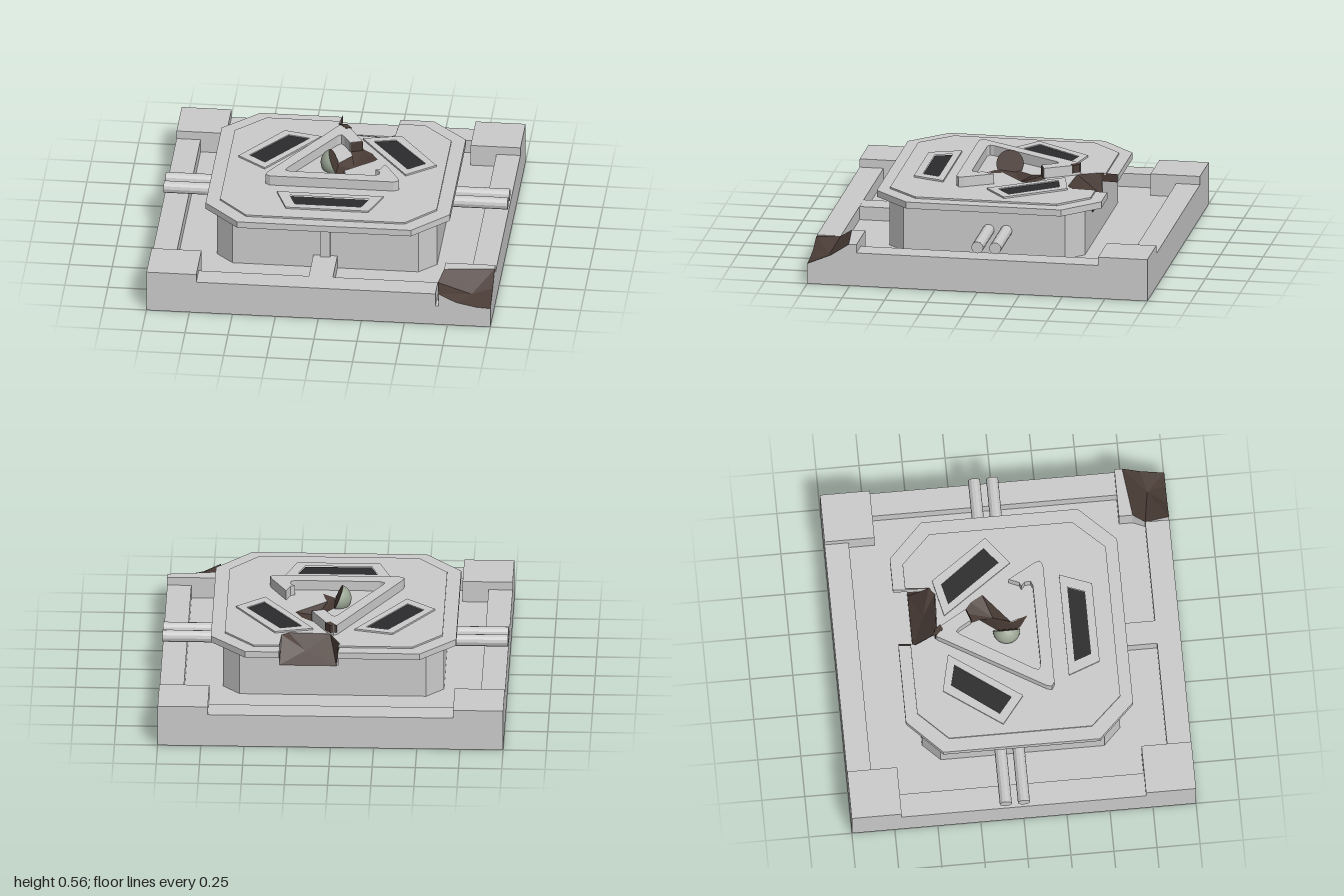
import * as THREE from 'three';

const grey = new THREE.MeshStandardMaterial({ color: 0xcccccc, flatShading: true });
const greyThin = new THREE.MeshStandardMaterial({ color: 0xcccccc, flatShading: true, side: THREE.DoubleSide });
const brown = new THREE.MeshStandardMaterial({ color: 0x4a3c36, flatShading: true, side: THREE.DoubleSide });
const dark = new THREE.MeshStandardMaterial({ color: 0x2b2b2d });
const green = new THREE.MeshStandardMaterial({ color: 0x9aa594 });

export function createModel() {
  const model = new THREE.Group();

  function add(name, geometry, material = grey) {
    const mesh = new THREE.Mesh(geometry, material);
    mesh.name = name;
    model.add(mesh);
    return mesh;
  }

  // Box given by its limits on each axis
  function box(name, x0, x1, y0, y1, z0, z1) {
    const g = new THREE.BoxGeometry(x1 - x0, y1 - y0, z1 - z0);
    add(name, g.translate((x0 + x1) / 2, (y0 + y1) / 2, (z0 + z1) / 2));
  }

  // Upright slab from an [x, z] outline, with optional holes
  function slab(name, outline, y0, y1, material = grey, holes = []) {
    const flip = (pts) => pts.map(([x, z]) => new THREE.Vector2(x, -z));
    const shape = new THREE.Shape(flip(outline));
    for (const h of holes) shape.holes.push(new THREE.Path(flip(h)));
    const g = new THREE.ExtrudeGeometry(shape, { depth: y1 - y0, bevelEnabled: false });
    return add(name, g.rotateX(-Math.PI / 2).translate(0, y0, 0), material);
  }

  function surface(name, triangles, material = brown) {
    const g = new THREE.BufferGeometry();
    g.setAttribute('position', new THREE.Float32BufferAttribute(triangles.flat(2), 3));
    g.computeVertexNormals();
    return add(name, g, material);
  }

  // Faceted hollow: rim points joined to one low point
  const fan = (name, rim, centre) =>
    surface(name, rim.map((p, i) => [p, rim[(i + 1) % rim.length], centre]));

  // Octagon; the back edge may carry the broken notch
  function octagon(x, cx, zb, czb, czf, zf, notch = []) {
    return [[-cx, zb], ...notch, [cx, zb], [x, czb], [x, czf], [cx, zf], [-cx, zf], [-x, czf], [-x, czb]];
  }
  const notch = (zb) => [[-0.03, zb], [-0.04, -0.54], [0.02, -0.41], [0.26, -0.4], [0.3, -0.43], [0.31, zb]];

  // Tray: floor, low rim and raised corners
  const floor = 0.12;
  box('trayFloor', -1, 1, 0, floor, -1, 1);
  box('rimBack', -0.71, 0.71, floor, 0.2, -1, -0.86);
  box('rimFront', -0.71, 0.68, floor, 0.2, 0.86, 1);
  box('rimRight', -1, -0.86, floor, 0.2, -0.71, 0.71);
  box('rimLeft', 0.86, 1, floor, 0.2, -0.71, 0.71);
  box('cornerBackRight', -1, -0.71, floor, 0.25, -1, -0.71);
  box('cornerBackLeft', 0.71, 1, floor, 0.25, -1, -0.71);
  box('cornerFrontRight', -1, -0.71, floor, 0.25, 0.71, 1);
  slab('cornerFrontLeftRemnant', [[0.71, 0.71], [1, 0.71], [1, 0.755], [0.71, 0.79]], floor, 0.25);

  // Broken front left corner with its side walls
  const breakRim = [
    [0.7, 0.2, 1], [0.8, 0.15, 1], [0.92, 0.125, 1], [1, 0.121, 1],
    [1, 0.18, 0.86], [1, 0.25, 0.755], [0.71, 0.25, 0.79], [0.68, 0.2, 0.86],
  ];
  fan('cornerBreak', breakRim, [0.88, 0.15, 0.89]);
  const skirt = [];
  breakRim.forEach((p, i) => {
    const q = breakRim[(i + 1) % breakRim.length];
    const p0 = [p[0], floor, p[2]], q0 = [q[0], floor, q[2]];
    skirt.push([p0, q0, q], [p0, q, p]);
  });
  surface('cornerBreakWalls', skirt, greyThin);

  // Central eight-sided housing, notched at the back
  slab('housingLower', octagon(0.64, 0.54, -0.55, -0.45, 0.5, 0.6), floor, 0.31);
  slab('housingUpper', octagon(0.64, 0.54, -0.55, -0.45, 0.5, 0.6, notch(-0.55)), 0.31, 0.396);
  box('frontPillar', -0.03, 0.03, floor, 0.37, 0.59, 0.62);
  box('frontBridge', -0.07, 0.07, floor, 0.199, 0.6, 0.86);

  // Top plate with a raised step, a gouge and the notch
  const gouge = [
    [-0.01, -0.04], [0.08, -0.16], [0.06, -0.23], [0.13, -0.25],
    [0.19, -0.2], [0.23, -0.13], [0.05, 0.02], [0.08, 0.12], [0.01, 0.07],
  ];
  slab('topPlate', octagon(0.71, 0.505, -0.64, -0.44, 0.47, 0.68, notch(-0.64)), 0.396, 0.435, grey, [gouge]);
  slab('plateStep', octagon(0.63, 0.46, -0.57, -0.4, 0.43, 0.61, notch(-0.57)), 0.435, 0.445, grey, [gouge]);
  fan('plateGouge', gouge.map(([x, z]) => [x, 0.445, z]), [0.1, 0.4, -0.08]);

  // Broken slope and cheeks in the back notch
  const low1 = [-0.02, 0.31, -0.555], low2 = [0.31, 0.31, -0.555], mid = [0.16, 0.37, -0.48];
  const top1 = [0.02, 0.445, -0.412], top2 = [0.26, 0.445, -0.402], top3 = [0.3, 0.445, -0.432];
  const edge1 = [-0.036, 0.445, -0.54], edge2 = [0.308, 0.445, -0.555];
  surface('notchSlope', [
    [low1, low2, mid], [low2, top3, mid], [top3, top2, mid], [top2, top1, mid], [top1, low1, mid],
    [low1, top1, edge1], [low2, edge2, top3],
    [edge1, [-0.026, 0.445, -0.64], [-0.026, 0.396, -0.64]], [edge1, [-0.026, 0.396, -0.64], [-0.036, 0.396, -0.54]],
  ]);

  // Dark trapezoid windows in thin frames
  const mirror = (pts) => pts.map(([x, z]) => [-x, z]).reverse();
  const sideWindow = [[0.312, -0.36], [0.187, -0.33], [0.415, -0.017], [0.512, -0.095]];
  const windows = {
    windowFront: [[-0.23, 0.365], [0.23, 0.365], [0.193, 0.465], [-0.193, 0.465]],
    windowLeft: sideWindow,
    windowRight: mirror(sideWindow),
  };
  const sideFrame = [[0.34, -0.41], [0.12, -0.36], [0.41, 0.05], [0.575, -0.08]];
  const frames = {
    windowFront: [[-0.31, 0.325], [0.31, 0.325], [0.24, 0.51], [-0.24, 0.51]],
    windowLeft: sideFrame,
    windowRight: mirror(sideFrame),
  };
  for (const name in windows) {
    slab(name + 'Frame', frames[name], 0.445, 0.455, grey, [windows[name]]);
    slab(name, windows[name], 0.445, 0.449, dark);
  }

  // Raised triangular ring, broken open on its left side
  slab('triangleRing', [
    [0.29, 0.03], [0.38, 0.19], [0.388, 0.22], [0.36, 0.237], [-0.36, 0.237], [-0.388, 0.22], [-0.38, 0.19],
    [-0.025, -0.41], [0, -0.43], [0.03, -0.41], [0.13, -0.235], [0.06, -0.21],
    [0.02, -0.28], [0, -0.3], [-0.02, -0.28], [-0.27, 0.13], [-0.277, 0.155], [-0.25, 0.167],
    [0.24, 0.167], [0.267, 0.155], [0.265, 0.12], [0.24, 0.1], [0.265, 0.09],
  ], 0.445, 0.505);
  const end = [[0.133, -0.232], [0.063, -0.206]].map(([x, z]) => [[x, 0.445, z], [x, 0.505, z]]);
  surface('ringBreak', [[end[0][0], end[1][0], end[1][1]], [end[0][0], end[1][1], end[0][1]]]);
  slab('ringChip', [[-0.02, -0.425], [0.02, -0.427], [0.05, -0.39], [0.02, -0.375]], 0.46, 0.507, brown);

  // Split ball at the centre
  const tilt = 0.4;
  const dome = new THREE.SphereGeometry(0.08, 24, 12, 0, Math.PI * 2, 0, Math.PI / 2);
  add('halfBall', dome.rotateZ(Math.PI / 2 + tilt), green).position.set(-0.01, 0.482, -0.01);
  const cut = new THREE.CircleGeometry(0.08, 24);
  add('halfBallCut', cut.rotateY(Math.PI / 2).rotateZ(tilt), brown).position.set(-0.01, 0.482, -0.01);

  // Twin pipes on both sides
  for (const side of [-1, 1]) {
    for (const z of [0, -0.105]) {
      const pipe = new THREE.CylinderGeometry(0.035, 0.035, 0.4, 12).rotateZ(Math.PI / 2);
      add(side > 0 ? 'pipeLeft' : 'pipeRight', pipe).position.set(side * 0.8, 0.27, z);
    }
  }
  return model;
}
